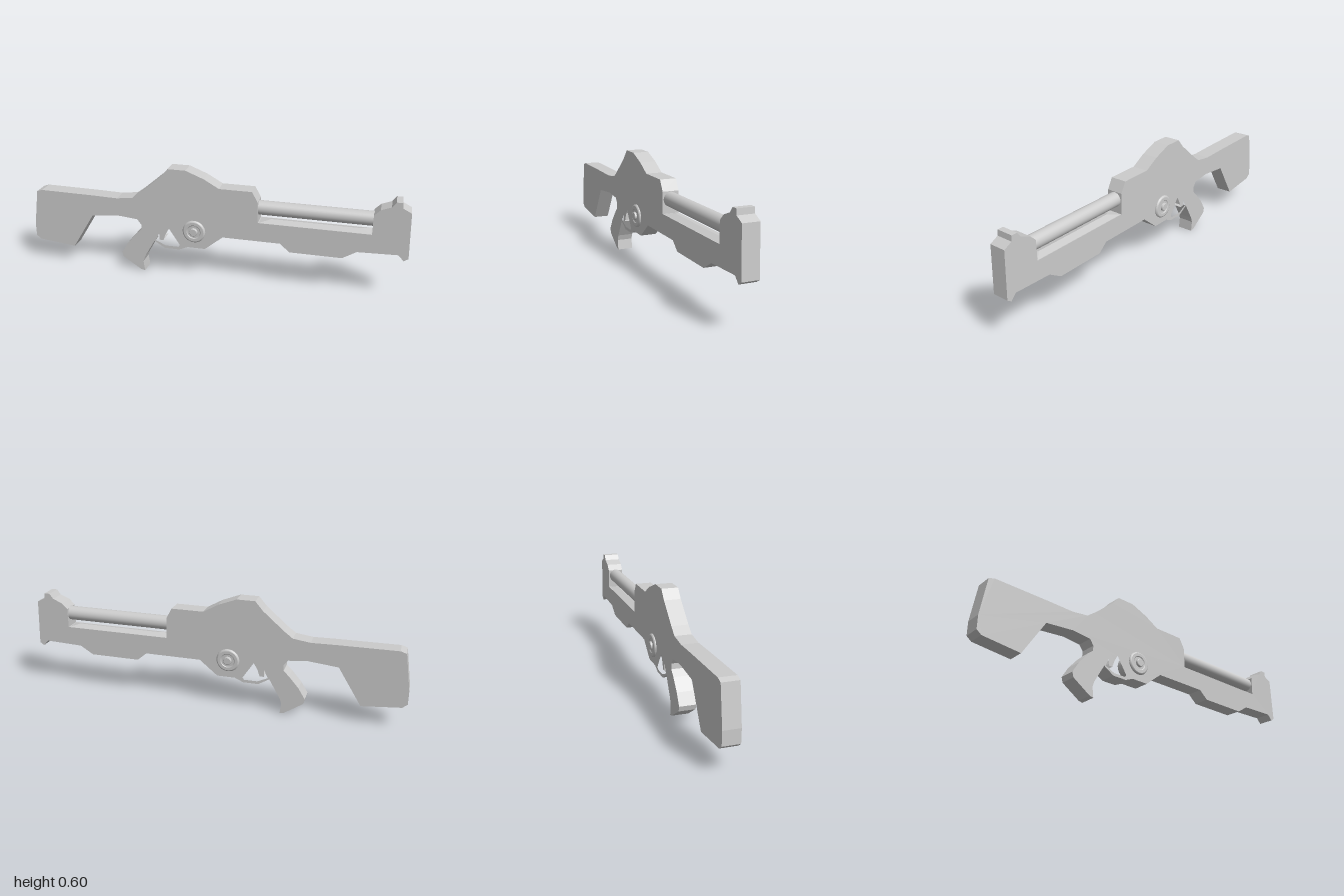
import * as THREE from 'three';
import { ConvexGeometry } from 'three/addons/geometries/ConvexGeometry.js';

const HALF = 0.0425; // half the body thickness

// Turns a flat run of x, y values into 2D points
function points(list) {
  const out = [];
  for (let i = 0; i < list.length; i += 2) out.push(new THREE.Vector2(list[i], list[i + 1]));
  return out;
}

export function createModel() {
  const group = new THREE.Group();
  const flat = new THREE.MeshStandardMaterial({ color: 0xcccccc, flatShading: true });
  const smooth = new THREE.MeshStandardMaterial({ color: 0xcccccc });

  function add(name, geometry, material) {
    const mesh = new THREE.Mesh(geometry, material);
    mesh.name = name;
    group.add(mesh);
    return mesh;
  }

  // Side outline, clockwise from the butt of the stock
  const stockTop = [-1, 0.14, -1, 0.21, -0.97, 0.405, -0.94, 0.415, -0.64, 0.412, -0.51, 0.409, -0.42, 0.421];
  const receiverTop = [-0.375, 0.455, -0.265, 0.55, -0.225, 0.597, -0.13, 0.597, -0.035, 0.56, 0.045, 0.515,
    0.215, 0.515, 0.245, 0.46, 0.248, 0.35];
  const muzzle = [0.815, 0.35, 0.815, 0.453, 0.845, 0.483, 0.895, 0.503, 0.915, 0.53, 0.945, 0.53,
    0.948, 0.502, 0.99, 0.48, 1, 0.24, 0.978, 0.225, 0.95, 0.255];
  const underside = [0.75, 0.248, 0.68, 0.205, 0.415, 0.205, 0.365, 0.248, 0.065, 0.248, -0.03, 0.17,
    -0.125, 0.17, -0.17, 0.15, -0.25, 0.15, -0.308, 0.185];
  const grip = [-0.365, 0.085, -0.375, 0.055, -0.368, 0, -0.39, 0.005, -0.488, 0.07, -0.495, 0.097,
    -0.46, 0.155, -0.41, 0.213, -0.38, 0.242, -0.378, 0.27, -0.4, 0.3];
  const stockUnder = [-0.5, 0.31, -0.655, 0.295, -0.775, 0.1, -0.975, 0.12];
  const outline = new THREE.Shape(points([...stockTop, ...receiverTop, ...muzzle, ...underside, ...grip, ...stockUnder]));

  // Opening inside the guard, leaving the trigger standing in it
  outline.holes.push(new THREE.Path(points([-0.3, 0.19, -0.266, 0.262, -0.28, 0.235, -0.28, 0.195,
    -0.257, 0.195, -0.245, 0.23, -0.225, 0.265, -0.167, 0.177, -0.175, 0.165, -0.245, 0.165])));
  const body = new THREE.ExtrudeGeometry(outline, { depth: HALF * 2, bevelEnabled: false });
  body.translate(0, 0, -HALF);
  add('body', body, flat);

  // Barrel bridging the gap between receiver and muzzle
  const barrel = add('barrel', new THREE.CylinderGeometry(0.037, 0.037, 0.58, 32), smooth);
  barrel.rotation.z = Math.PI / 2;
  barrel.position.set(0.532, 0.42, 0);

  // Low hipped ridge beneath the barrel
  const ridge = [[0.31, 0.361, 0], [0.765, 0.361, 0]];
  for (const z of [-HALF, HALF]) ridge.push([0.248, 0.349, z], [0.815, 0.349, z]);
  add('barrelLedge', new ConvexGeometry(ridge.map((p) => new THREE.Vector3(...p))), flat);

  // Round dial with a small hub on each side; doubled points keep edges crisp
  const profile = points([0.061, 0, 0.061, 0.046, 0.061, 0.046, 0.058, 0.051, 0.053, 0.053, 0.053, 0.053,
    0.038, 0.053, 0.038, 0.053, 0.034, 0.05, 0.034, 0.05, 0.022, 0.05, 0.022, 0.05,
    0.021, 0.059, 0.021, 0.059, 0.018, 0.061, 0.018, 0.061, 0, 0.061]);
  for (const side of [1, -1]) {
    const dial = add(side > 0 ? 'frontDial' : 'backDial', new THREE.LatheGeometry(profile, 32), smooth);
    dial.rotation.x = side * Math.PI / 2;
    dial.position.set(-0.088, 0.265, 0);
  }
  return group;
}
